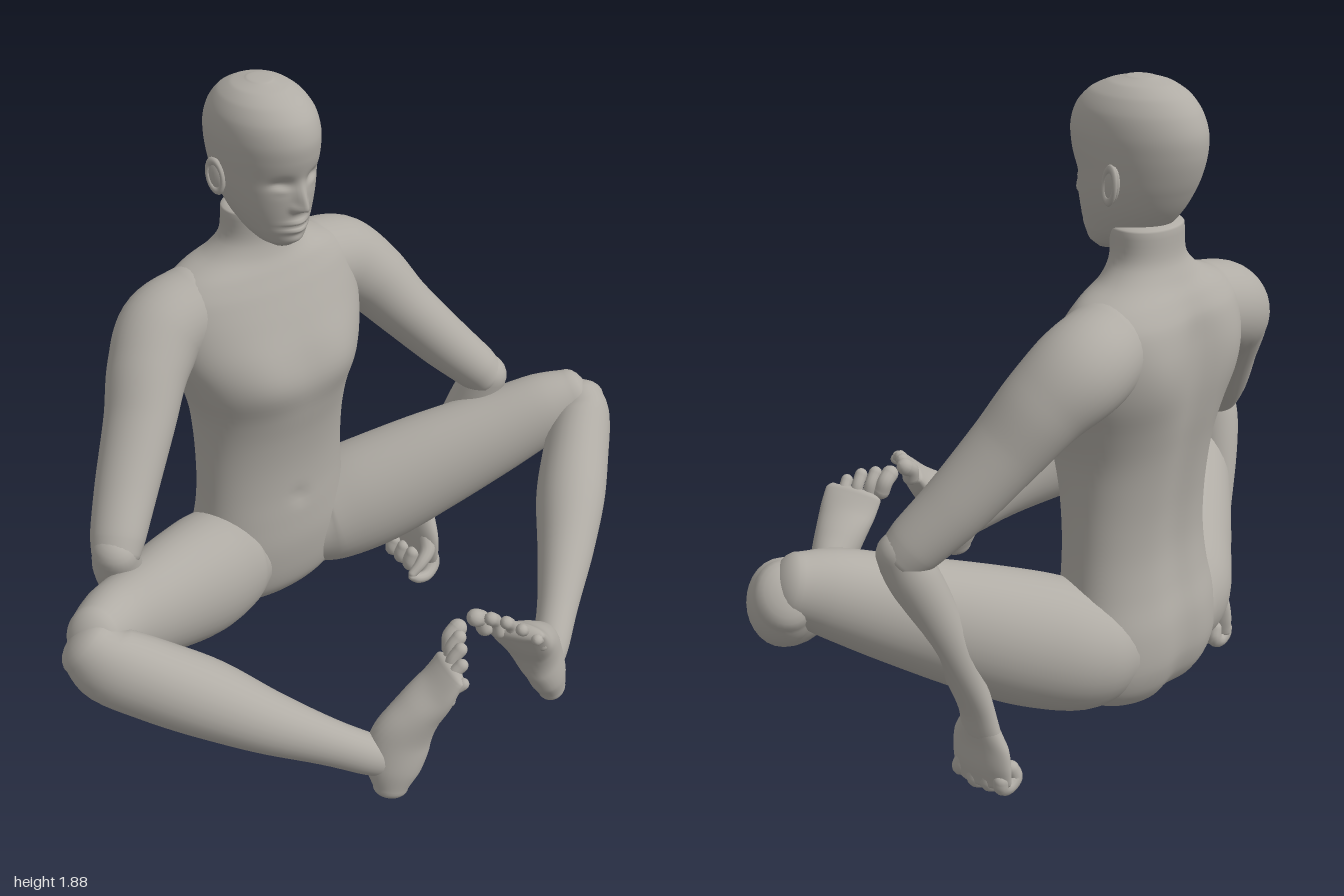
import * as THREE from 'three';

const skin = new THREE.MeshStandardMaterial({ color: 0xb0aca5 });
skin.name = 'clay grey';

const V = (x, y, z) => new THREE.Vector3(x, y, z);
const gauss = (d, w) => Math.exp(-(d * d) / (w * w));

// Smooth closed limb. Each station is [x, y, z, radius along ref, radius across].
function loft(stations, { ref = V(1, 0, 0), axis = null, rings = 32, sides = 28, cap = 1, power = 1, sculpt = null } = {}) {
  const path = new THREE.CatmullRomCurve3(stations.map(s => V(s[0], s[1], s[2])));
  const radii = new THREE.CatmullRomCurve3(stations.map(s => V(s[3], s[4], 0)), false, 'catmullrom', 0.5);
  const pos = [], index = [];
  const bend = c => Math.sign(c) * Math.abs(c) ** power;
  let count = 0;
  const addRing = (t, scale, shift) => {
    const c = path.getPoint(t), r = radii.getPoint(t);
    const dir = axis ? axis.clone() : path.getTangent(t);
    const u = ref.clone().addScaledVector(dir, -ref.dot(dir)).normalize();
    const v = dir.clone().cross(u);
    c.addScaledVector(dir, shift * cap * Math.min(r.x, r.y));
    for (let j = 0; j < sides; j++) {
      const a = (j / sides) * Math.PI * 2;
      const p = c.clone()
        .addScaledVector(u, bend(Math.cos(a)) * r.x * scale)
        .addScaledVector(v, bend(Math.sin(a)) * r.y * scale);
      if (sculpt) sculpt(p, c);
      pos.push(p.x, p.y, p.z);
    }
    count++;
  };
  const capSteps = 6;
  for (let k = capSteps; k > 0; k--) {
    const f = (k / capSteps) * Math.PI / 2;
    addRing(0, Math.cos(f) + 0.002, -Math.sin(f));
  }
  for (let i = 0; i <= rings; i++) addRing(i / rings, 1, 0);
  for (let k = 1; k <= capSteps; k++) {
    const f = (k / capSteps) * Math.PI / 2;
    addRing(1, Math.cos(f) + 0.002, Math.sin(f));
  }
  for (let i = 0; i < count - 1; i++) {
    for (let j = 0; j < sides; j++) {
      const a = i * sides + j, b = i * sides + (j + 1) % sides;
      index.push(a, b, a + sides, b, b + sides, a + sides);
    }
  }
  const g = new THREE.BufferGeometry();
  g.setAttribute('position', new THREE.Float32BufferAttribute(pos, 3));
  g.setIndex(index);
  g.computeVertexNormals();
  return g;
}

// Upright body from rows of [y, half width, front z, back z]
const upright = (rows, opts) => loft(
  rows.map(([y, w, f, b]) => [0, y, (f + b) / 2, w, (f - b) / 2]),
  { axis: V(0, 1, 0), ...opts });

// Mirrored copy with corner order restored
function mirrored(geometry) {
  const g = geometry.clone().scale(-1, 1, 1);
  const ix = g.index.array;
  for (let i = 0; i < ix.length; i += 3) [ix[i], ix[i + 1]] = [ix[i + 1], ix[i]];
  g.computeVertexNormals();
  return g;
}

export function createModel() {
  const model = new THREE.Group();
  model.name = 'seatedFigure';
  const add = (name, g) => {
    const m = new THREE.Mesh(g, skin);
    m.name = name;
    model.add(m);
  };
  const pair = (name, g) => {
    add(name + 'Left', g);
    add(name + 'Right', mirrored(g));
  };

  // Torso and neck, with spine groove, shoulder blades, chest and navel
  add('torso', upright([
    [0.155, 0.14, -0.37, -0.53], [0.18, 0.215, -0.33, -0.56], [0.23, 0.262, -0.295, -0.59],
    [0.3, 0.28, -0.275, -0.607], [0.4, 0.275, -0.262, -0.603], [0.5, 0.258, -0.262, -0.58],
    [0.6, 0.25, -0.265, -0.565], [0.7, 0.248, -0.26, -0.565], [0.8, 0.25, -0.245, -0.575],
    [0.9, 0.26, -0.222, -0.59], [1.0, 0.288, -0.203, -0.608], [1.1, 0.32, -0.222, -0.62],
    [1.2, 0.328, -0.26, -0.62], [1.28, 0.31, -0.295, -0.607], [1.33, 0.255, -0.32, -0.58],
    [1.37, 0.165, -0.34, -0.55], [1.42, 0.117, -0.35, -0.525], [1.5, 0.108, -0.345, -0.52],
  ], {
    rings: 80, sides: 72, cap: 0.2, power: 0.95,
    sculpt(p, c) {
      if (p.z < c.z) {
        p.z += 0.02 * gauss(p.x, 0.06) * THREE.MathUtils.smoothstep(1.4 - p.y, 0, 0.2);
        p.z -= 0.02 * gauss(Math.abs(p.x) - 0.18, 0.09) * gauss(p.y - 1.15, 0.13);
      } else {
        p.z += 0.016 * gauss(Math.abs(p.x) - 0.14, 0.1) * gauss(p.y - 1.04, 0.1);
        p.z -= 0.008 * gauss(p.x, 0.025) * gauss(p.y - 0.57, 0.025);
      }
    },
  }));

  // Head, with sockets, nose, lips and chin pushed out of the surface
  add('head', upright([
    [1.422, 0.035, -0.285, -0.345], [1.443, 0.066, -0.263, -0.40], [1.48, 0.092, -0.25, -0.47],
    [1.54, 0.116, -0.24, -0.525], [1.6, 0.13, -0.232, -0.56], [1.65, 0.136, -0.224, -0.58],
    [1.7, 0.14, -0.212, -0.591], [1.75, 0.14, -0.209, -0.59], [1.8, 0.13, -0.226, -0.57],
    [1.84, 0.106, -0.264, -0.536], [1.865, 0.074, -0.315, -0.49], [1.877, 0.036, -0.36, -0.445],
  ], {
    rings: 96, sides: 96, cap: 0.1,
    sculpt(p, c) {
      if (p.z < c.z + 0.02) return;
      const x = Math.abs(p.x), y = p.y;
      const ridge = THREE.MathUtils.smoothstep(1.65 - y, 0, 0.1) * THREE.MathUtils.smoothstep(y, 1.535, 1.555);
      p.z -= 0.02 * gauss(x - 0.052, 0.03) * gauss(y - 1.63, 0.022);
      p.z += 0.009 * gauss(x - 0.054, 0.022) * gauss(y - 1.617, 0.012);
      p.z += 0.036 * ridge * gauss(x, 0.016);
      p.z += 0.011 * gauss(x - 0.02, 0.01) * gauss(y - 1.555, 0.013);
      p.z += 0.013 * gauss(x, 0.035) * (gauss(y - 1.507, 0.009) + gauss(y - 1.483, 0.01));
      p.z -= 0.008 * gauss(x, 0.04) * gauss(y - 1.495, 0.005);
      p.z += 0.008 * gauss(x, 0.03) * gauss(y - 1.447, 0.016);
    },
  }));

  // Ears: a bowl with a raised rim, flaring towards the back
  const place = g => g.rotateX(-0.15).rotateY(-0.35).translate(0.141, 1.628, -0.422);
  pair('ear', place(new THREE.SphereGeometry(1, 20, 14).scale(0.014, 0.05, 0.028)));
  pair('earRim', place(new THREE.TorusGeometry(0.025, 0.007, 8, 28).rotateY(Math.PI / 2)
    .scale(1, 1.75, 0.95).translate(0.008, 0, 0)));

  // Arms, rooted in the upper chest
  pair('upperArm', loft([
    [0.2, 1.225, -0.46, 0.125, 0.125], [0.32, 1.19, -0.462, 0.128, 0.13],
    [0.405, 1.12, -0.422, 0.112, 0.118], [0.485, 1.01, -0.362, 0.095, 0.106], [0.595, 0.87, -0.285, 0.084, 0.092],
    [0.675, 0.775, -0.222, 0.073, 0.08], [0.7, 0.74, -0.2, 0.065, 0.07],
  ], { ref: V(1, 1, 0).normalize(), rings: 44, sides: 36, cap: 0.5 }));
  pair('forearm', loft([
    [0.702, 0.75, -0.198, 0.062, 0.068], [0.685, 0.68, -0.22, 0.068, 0.075], [0.65, 0.58, -0.25, 0.064, 0.07],
    [0.6, 0.44, -0.285, 0.051, 0.058], [0.55, 0.28, -0.31, 0.037, 0.055], [0.535, 0.2, -0.315, 0.035, 0.064],
  ]));

  // Hands: palm, three curled fingers, thumb and index meeting at the tips
  pair('palm', loft([
    [0.54, 0.23, -0.313, 0.034, 0.058], [0.53, 0.165, -0.31, 0.036, 0.09],
    [0.53, 0.1, -0.315, 0.036, 0.097], [0.528, 0.05, -0.322, 0.03, 0.09],
  ], { rings: 14, cap: 0.7 }));
  const digit = pts => loft(pts, { ref: V(0, 0, 1), rings: 20, sides: 12 });
  for (let i = 0; i < 3; i++) {
    const z = -0.296 - i * 0.045, r = 0.025 - i * 0.001, lift = i * 0.005;
    pair('finger' + (i + 1), digit([
      [0.537, 0.07, z, r, r], [0.535, 0.042 + lift, z, r, r], [0.511, 0.03 + lift, z, r, r],
      [0.482, 0.046 + lift, z, r, r], [0.49, 0.085, z + 0.004, r * 0.9, r * 0.9],
    ]));
  }
  pair('indexFinger', digit([
    [0.535, 0.09, -0.255, 0.024, 0.024], [0.535, 0.055, -0.24, 0.023, 0.023], [0.495, 0.033, -0.225, 0.02, 0.02],
    [0.45, 0.044, -0.22, 0.017, 0.017], [0.425, 0.062, -0.22, 0.013, 0.013],
  ]));
  pair('thumb', digit([
    [0.53, 0.165, -0.27, 0.028, 0.028], [0.505, 0.125, -0.235, 0.025, 0.025],
    [0.465, 0.098, -0.222, 0.019, 0.019], [0.428, 0.072, -0.222, 0.014, 0.014],
  ]));

  // Legs
  const up = V(0, 1, 0);
  pair('thigh', loft([
    [0.14, 0.335, -0.43, 0.155, 0.15], [0.22, 0.345, -0.4, 0.175, 0.168], [0.34, 0.395, -0.33, 0.185, 0.162],
    [0.5, 0.475, -0.24, 0.17, 0.145], [0.68, 0.568, -0.135, 0.142, 0.12],
    [0.82, 0.643, -0.055, 0.117, 0.1], [0.9, 0.675, -0.01, 0.092, 0.08],
  ], { ref: up, sides: 36, cap: 0.7 }));
  pair('shin', loft([
    [0.925, 0.658, -0.005, 0.092, 0.08], [0.898, 0.618, 0.035, 0.112, 0.092], [0.81, 0.555, 0.105, 0.115, 0.102],
    [0.7, 0.485, 0.195, 0.11, 0.105], [0.58, 0.4, 0.298, 0.09, 0.085],
    [0.45, 0.32, 0.4, 0.068, 0.062], [0.36, 0.265, 0.465, 0.06, 0.055], [0.32, 0.24, 0.49, 0.055, 0.05],
  ], { ref: up, cap: 0.7 }));

  // Feet, soles turned inward
  pair('foot', loft([
    [0.318, 0.155, 0.517, 0.042, 0.05], [0.303, 0.215, 0.51, 0.055, 0.078], [0.272, 0.3, 0.505, 0.061, 0.088],
    [0.22, 0.375, 0.515, 0.074, 0.066], [0.165, 0.435, 0.53, 0.086, 0.044], [0.125, 0.487, 0.538, 0.089, 0.028],
  ], { ref: V(0.63, -0.26, 0.73), cap: 0.8 }));
  for (let i = 0; i < 5; i++) {
    const f = i / 4, r = i === 0 ? 0.026 : 0.021 - i * 0.001;
    const arch = 0.022 * Math.sin(f * Math.PI);
    const b = [0.066 + 0.112 * f, 0.495 - 0.052 * f, 0.477 + 0.118 * f];
    const tip = [0.034 + 0.107 * f, 0.542 - 0.05 * f + arch, 0.47 + 0.138 * f];
    const mid = b.map((n, k) => (n + tip[k]) / 2 + [0.008, 0.005, -0.005][k]);
    pair('toe' + (i + 1), digit([[...b, r, r], [...mid, r * 0.95, r * 0.95], [...tip, r, r]]));
  }

  return model;
}
